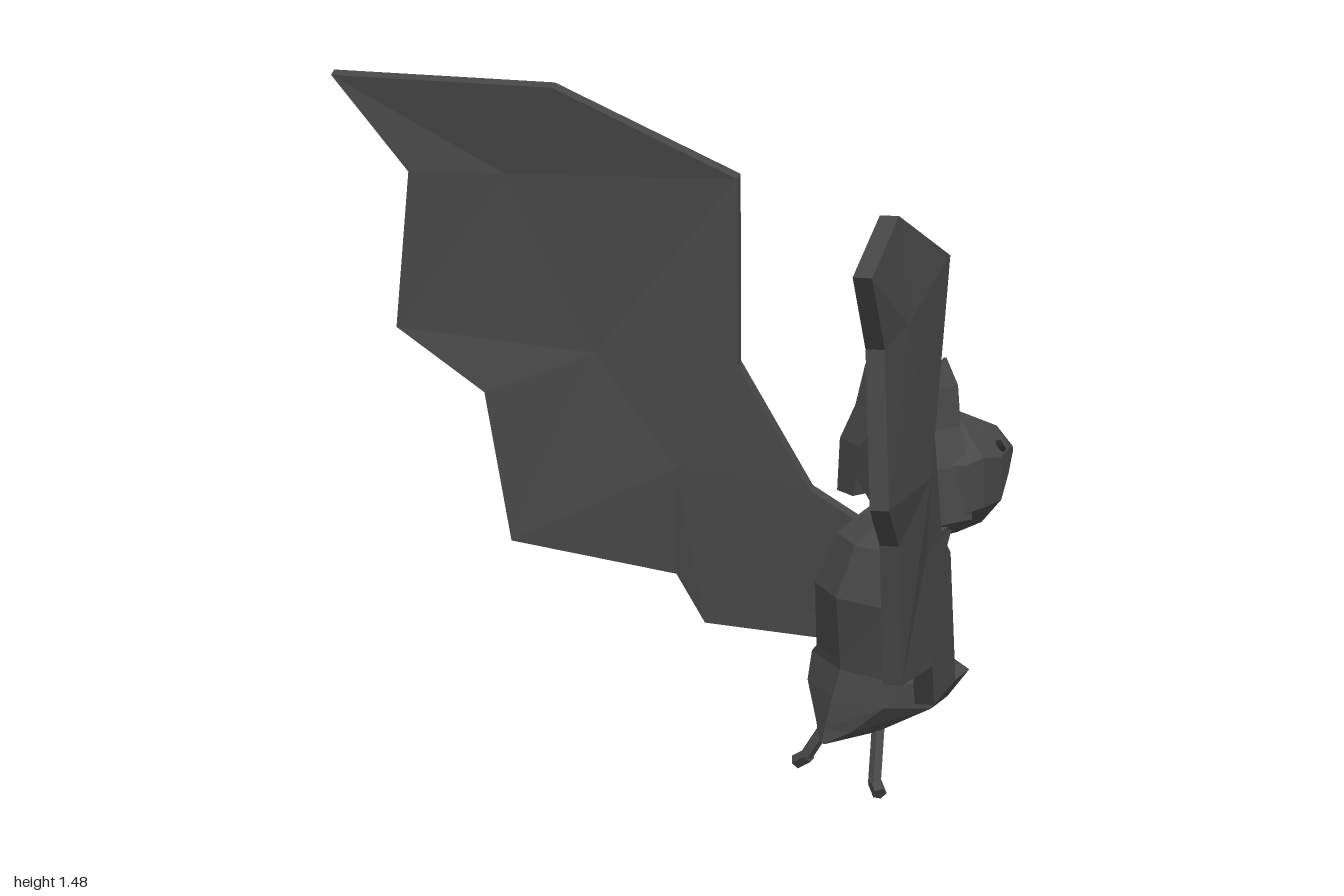
import * as THREE from 'three';

const fur = new THREE.MeshStandardMaterial({ name: 'charcoal fur', color: 0x484848 });
const pink = new THREE.MeshStandardMaterial({ name: 'ear pink', color: 0xb87676, side: THREE.DoubleSide });
const black = new THREE.MeshStandardMaterial({ name: 'eye black', color: 0x262626 });

// Flat-shaded mesh from triangles of [x, y, z] points; side -1 mirrors it across z = 0.
function facets(name, tris, material, side = 1) {
  const pos = [];
  for (const [a, b, c] of tris) {
    for (const p of side > 0 ? [a, b, c] : [a, c, b]) pos.push(p[0], p[1], p[2] * side);
  }
  const geo = new THREE.BufferGeometry();
  geo.setAttribute('position', new THREE.Float32BufferAttribute(pos, 3));
  geo.computeVertexNormals();
  const mesh = new THREE.Mesh(geo, material);
  mesh.name = name;
  return mesh;
}

// Skin over closed rings, which run counter-clockwise about the direction of travel.
function loft(rings) {
  const tris = [], n = rings[0].length, last = rings[rings.length - 1];
  for (let i = 0; i < rings.length - 1; i++) {
    for (let j = 0; j < n; j++) {
      const k = (j + 1) % n, a = rings[i], b = rings[i + 1];
      tris.push([a[j], a[k], b[k]], [a[j], b[k], b[j]]);
    }
  }
  for (let j = 1; j < n - 1; j++) {
    tris.push([rings[0][0], rings[0][j + 1], rings[0][j]], [last[0], last[j], last[j + 1]]);
  }
  return tris;
}

const angles = (n, start) => Array.from({ length: n }, (_, i) => start + (i / n) * Math.PI * 2);

// Body: rings of [y, back x, front x, half width]
function body() {
  const rows = [
    [0.10, 0.05, 0.06, 0.01], [0.133, 0.06, 0.21, 0.09], [0.20, 0.08, 0.32, 0.20],
    [0.257, 0.10, 0.37, 0.225], [0.275, 0.10, 0.33, 0.19], [0.42, 0.09, 0.33, 0.18],
    [0.53, 0.14, 0.34, 0.15], [0.57, 0.20, 0.36, 0.13],
  ];
  return facets('body', loft(rows.map(([y, x0, x1, w]) => angles(8, 0).map(
    (t) => [(x0 + x1) / 2 + Math.sin(t) * (x1 - x0) / 2, y, Math.cos(t) * w]))), fur);
}

// Head: rings of [x, bottom y, top y, half width], narrowing to the snout
function head() {
  const rows = [
    [0.215, 0.60, 0.76, 0.10], [0.25, 0.56, 0.79, 0.145], [0.31, 0.54, 0.80, 0.18],
    [0.36, 0.54, 0.81, 0.172], [0.44, 0.545, 0.775, 0.125], [0.495, 0.61, 0.748, 0.075],
    [0.555, 0.672, 0.688, 0.008],
  ];
  const r = 1 / Math.cos(Math.PI / 8);
  return facets('head', loft(rows.map(([x, y0, y1, w]) => angles(8, Math.PI / 8).map(
    (t) => [x, (y0 + y1) / 2 + Math.cos(t) * r * (y1 - y0) / 2, Math.sin(t) * r * w]))), fur);
}

// Wing: relief on the outer face, flat inner face, joined by a rim
function wing(side) {
  const outline = [
    [-0.53, 1.48, 1.0], [-0.20, 1.48, 0.64], [0.115, 1.28, 0.39], [0.095, 0.87, 0.36],
    [0.20, 0.60, 0.24], [0.28, 0.53, 0.16], [0.36, 0.53, 0], [0.372, 0.26, 0],
    [0.25, 0.26, 0.22], [0.05, 0.285, 0.42], [0.01, 0.39, 0.47], [-0.25, 0.45, 0.72],
    [-0.29, 0.78, 0.765], [-0.42, 0.915, 0.91], [-0.41, 1.27, 0.88],
  ];
  // Finger joints inside the membrane are points 15, 16 and 17
  const pts = [...outline, [-0.25, 1.27, 0.745], [-0.10, 0.87, 0.62], [0.0, 0.63, 0.46]];
  const faces = [
    [0, 14, 15], [0, 15, 1], [1, 15, 2], [14, 13, 15], [15, 13, 16], [15, 16, 2], [2, 16, 3],
    [13, 12, 16], [12, 11, 16], [16, 11, 17], [16, 17, 3], [17, 11, 10], [17, 10, 9],
    [3, 17, 4], [17, 9, 8], [4, 17, 8], [4, 8, 5], [5, 8, 7], [5, 7, 6],
  ];
  const inner = pts.map(([x, y, z]) => [x - 0.03, y, Math.max(0, z - 0.03)]);
  const tris = [];
  for (const [a, b, c] of faces) {
    tris.push([pts[a], pts[b], pts[c]], [inner[a], inner[c], inner[b]]);
  }
  outline.forEach((p, i) => {
    const k = (i + 1) % outline.length;
    tris.push([p, pts[k], inner[k]], [p, inner[k], inner[i]]);
  });
  return facets(side > 0 ? 'rightWing' : 'leftWing', tris, fur, side);
}

// Ear: tapering shell with a pink front plate
function ear(side) {
  const group = new THREE.Group();
  group.name = 'ear';
  const rows = [
    [0.60, 0.22, 0.325, 0.12, 0.178], [0.72, 0.218, 0.325, 0.09, 0.165],
    [0.80, 0.238, 0.325, 0.075, 0.135], [0.89, 0.257, 0.325, 0.085, 0.125],
    [0.95, 0.303, 0.308, 0.102, 0.106],
  ];
  group.add(facets('earShell', loft(rows.map(([y, x0, x1, z0, z1]) =>
    [[x0, y, z1], [x1, y, z1], [x1, y, z0], [x0, y, z0]])), fur, side));
  const a = [0.328, 0.78, 0.088], b = [0.328, 0.78, 0.134];
  const c = [0.328, 0.885, 0.118], d = [0.328, 0.885, 0.09], e = [0.318, 0.925, 0.104];
  group.add(facets('innerEar', [[a, d, c], [a, c, b], [d, e, c]], pink, side));
  return group;
}

// Straight limb segment between two points
function rod(name, from, to, radius) {
  const a = new THREE.Vector3(...from), b = new THREE.Vector3(...to);
  const dir = b.clone().sub(a);
  const geo = new THREE.CylinderGeometry(radius, radius, dir.length(), 5).toNonIndexed();
  geo.computeVertexNormals();
  const mesh = new THREE.Mesh(geo, fur);
  mesh.name = name;
  mesh.position.copy(a).add(b).multiplyScalar(0.5);
  mesh.quaternion.setFromUnitVectors(new THREE.Vector3(0, 1, 0), dir.normalize());
  return mesh;
}

export function createModel() {
  const bat = new THREE.Group();
  bat.name = 'bat';
  bat.add(body(), head());
  for (const side of [1, -1]) {
    bat.add(wing(side), ear(side));
    // Legs with small outward feet
    bat.add(rod('leg', [0.155, 0.16, side * 0.07], [0.10, 0.03, side * 0.13], 0.015));
    bat.add(rod('foot', [0.105, 0.035, side * 0.122], [0.095, 0.015, side * 0.155], 0.016));
    // Eyes
    const eye = new THREE.Mesh(new THREE.IcosahedronGeometry(0.022, 0), black);
    eye.name = 'eye';
    eye.position.set(0.455, 0.715, side * 0.085);
    bat.add(eye);
  }
  return bat;
}
